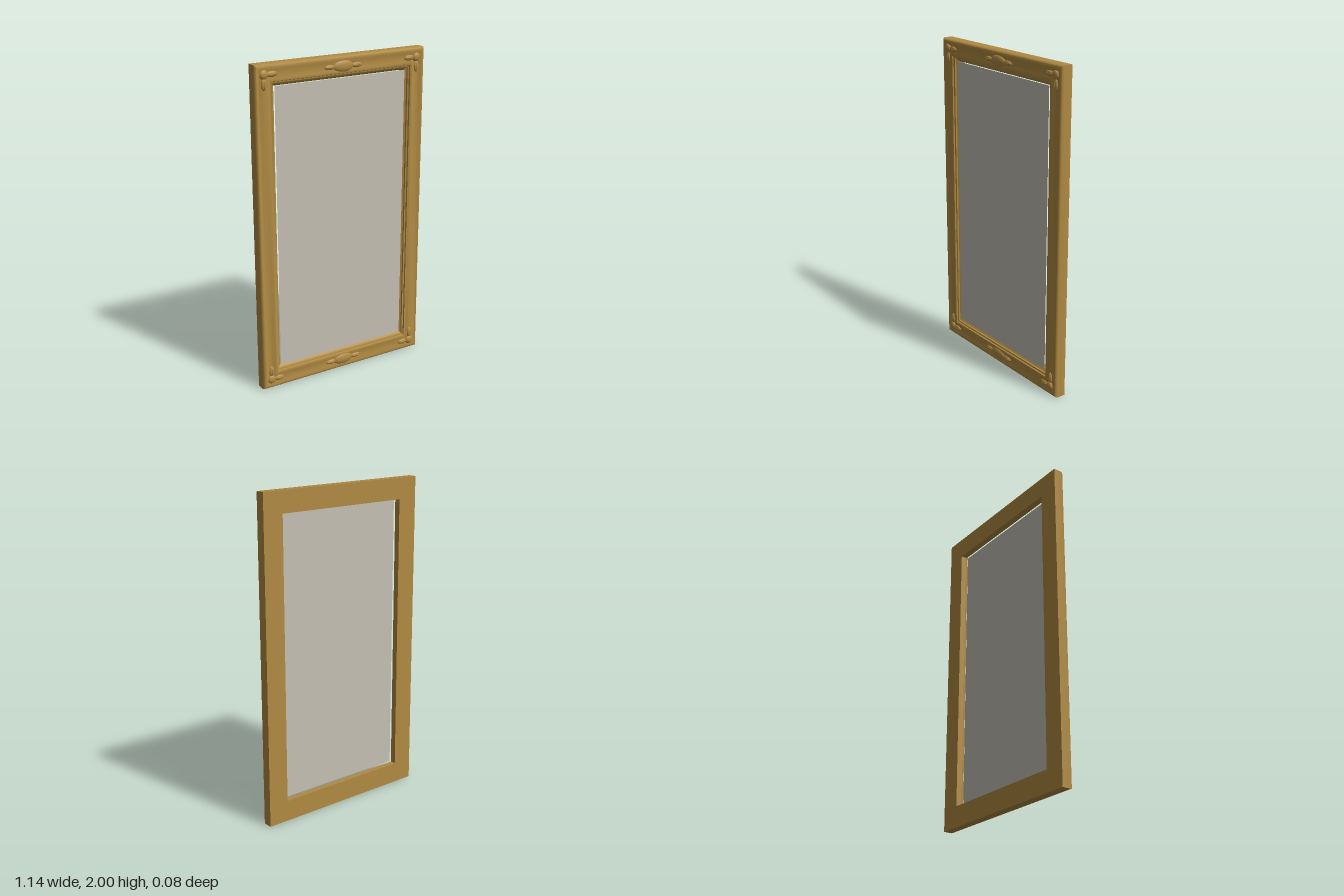
import * as THREE from 'three';
import { toCreasedNormals } from 'three/addons/utils/BufferGeometryUtils.js';

const W = 0.57, H = 1; // half width and half height

// Moulding section: [distance in from the outer edge, z], closed through the back
const PROFILE = [
  [0, -0.04], [0, 0.015], [0.004, 0.025], [0.012, 0.031], [0.022, 0.031],
  [0.034, 0.027], [0.046, 0.0245], [0.06, 0.024], [0.074, 0.026], [0.086, 0.03], [0.094, 0.031],
  [0.101, 0.028], [0.104, 0.02], [0.108, 0.019], [0.112, 0.017], [0.114, 0.008],
  [0.122, 0.003], [0.13, -0.004], [0.13, -0.04],
];

// Sweeps the section round the rectangle with mitred corners
function mitredFrame() {
  const corners = [[-1, -1], [1, -1], [1, 1], [-1, 1]];
  const point = ([d, z], [sx, sy]) => [sx * (W - d), H + sy * (H - d), z];
  const pos = [];
  corners.forEach((c, k) => {
    const e = corners[(k + 1) % 4];
    PROFILE.forEach((p, i) => {
      const q = PROFILE[(i + 1) % PROFILE.length];
      const a = point(p, c), a2 = point(p, e), b = point(q, c), b2 = point(q, e);
      pos.push(...a, ...a2, ...b2, ...a, ...b2, ...b);
    });
  });
  const g = new THREE.BufferGeometry();
  g.setAttribute('position', new THREE.Float32BufferAttribute(pos, 3));
  return toCreasedNormals(g, 0.7);
}

export function createModel() {
  const gold = new THREE.MeshStandardMaterial({ color: 0xb08a42 });
  gold.name = 'antique gold';
  const silver = new THREE.MeshStandardMaterial({ color: 0xc4c0b4, side: THREE.DoubleSide });
  silver.name = 'mirror silver';

  const model = new THREE.Group();
  model.name = 'framedMirror';
  const add = (parent, geo, mat, name) => {
    const m = new THREE.Mesh(geo, mat);
    m.name = name;
    parent.add(m);
    return m;
  };

  add(model, mitredFrame(), gold, 'frame');

  // Mirror pane, just in front of the rear lip
  add(model, new THREE.PlaneGeometry(0.88, 1.74), silver, 'mirrorPane').position.set(0, 1, 0.01);

  // Carved ornaments: flattened ellipsoids set into the moulding
  const ball = new THREE.SphereGeometry(1, 24, 16);
  const lobe = (parent, name, x, y, rx, ry, z, rz) => {
    const m = add(parent, ball, gold, name);
    m.position.set(x, y, z);
    m.scale.set(rx, ry, rz);
  };

  for (const sy of [-1, 1]) {
    const end = sy > 0 ? 'top' : 'bottom';
    const y = H + sy * 0.94;

    // Middle cartouche with a leaf on each side
    const middle = new THREE.Group();
    middle.name = end + 'Cartouche';
    model.add(middle);
    lobe(middle, 'boss', 0, y, 0.068, 0.035, 0.024, 0.016);
    for (const sx of [-1, 1]) {
      lobe(middle, 'leaf', sx * 0.09, y, 0.035, 0.015, 0.025, 0.01);
      lobe(middle, 'leafRib', sx * 0.092, y, 0.028, 0.004, 0.029, 0.008);
    }

    // Corner clusters: bud with a leaf along each side
    for (const sx of [-1, 1]) {
      const corner = new THREE.Group();
      corner.name = end + (sx > 0 ? 'Left' : 'Right') + 'Corner';
      model.add(corner);
      lobe(corner, 'bud', sx * 0.513, y + sy * 0.003, 0.027, 0.027, 0.025, 0.014);
      lobe(corner, 'sideLeaf', sx * 0.461, y + sy * 0.003, 0.034, 0.017, 0.025, 0.01);
      lobe(corner, 'sideLeafRib', sx * 0.459, y + sy * 0.003, 0.026, 0.004, 0.029, 0.008);
      lobe(corner, 'uprightLeaf', sx * 0.513, y - sy * 0.052, 0.017, 0.034, 0.025, 0.01);
      lobe(corner, 'uprightLeafRib', sx * 0.513, y - sy * 0.054, 0.004, 0.026, 0.029, 0.008);
    }
  }
  return model;
}
